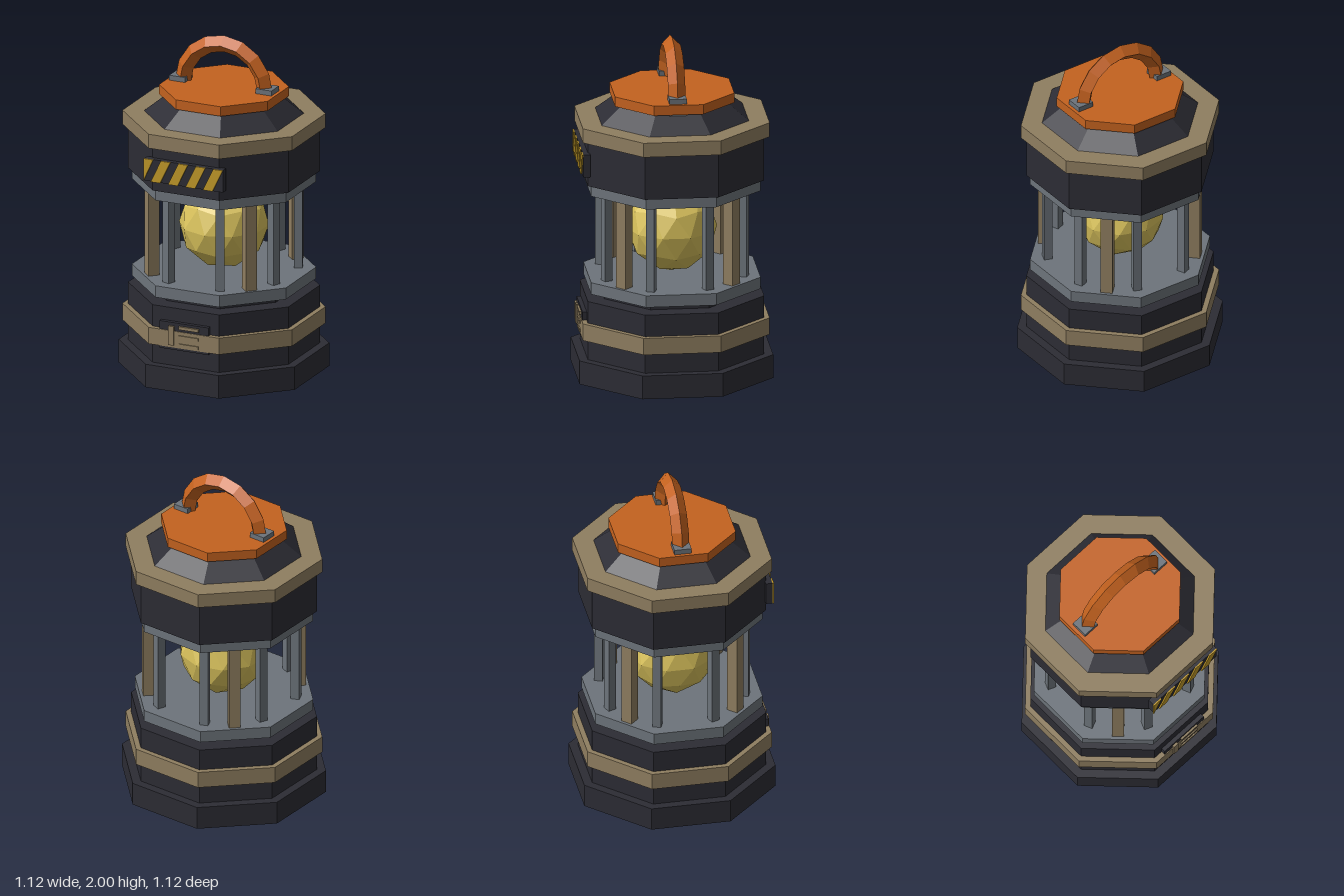
import * as THREE from 'three';

const mat = (name, color) => {
  const m = new THREE.MeshStandardMaterial({ color, flatShading: true });
  m.name = name;
  return m;
};

export function createModel() {
  const group = new THREE.Group();
  group.name = 'lantern';
  const dark = mat('dark metal', 0x2c2c34);
  const tan = mat('tan trim', 0x8f7e60);
  const grey = mat('grey metal', 0x6d747b);
  const orange = mat('orange', 0xc4621f);
  const glow = mat('glowing yellow', 0xd9c25c);
  const hazard = mat('hazard yellow', 0xc29a28);

  const add = (name, geometry, material, x = 0, y = 0, z = 0, turn = 0) => {
    const mesh = new THREE.Mesh(geometry, material);
    mesh.name = name;
    mesh.position.set(x, y, z);
    mesh.rotation.y = turn;
    group.add(mesh);
    return mesh;
  };

  // Octagonal tier, sized by the distance from its axis to its flat sides
  const tier = (name, material, y0, y1, bottom, top = bottom) => {
    const k = 1 / Math.cos(Math.PI / 8);
    const g = new THREE.CylinderGeometry(top * k, bottom * k, y1 - y0, 8).rotateY(Math.PI / 8);
    add(name, g, material, 0, (y0 + y1) / 2, 0);
  };
  const box = (name, material, x0, x1, y0, y1, z0, z1) =>
    add(name, new THREE.BoxGeometry(x1 - x0, y1 - y0, z1 - z0), material,
      (x0 + x1) / 2, (y0 + y1) / 2, (z0 + z1) / 2);

  // Stacked body
  tier('base', dark, 0, 0.14, 0.56);
  tier('lowerBody', dark, 0.14, 0.49, 0.51);
  tier('lowerBand', tan, 0.26, 0.36, 0.54);
  tier('neck', dark, 0.49, 0.53, 0.41);
  tier('cageFloor', grey, 0.53, 0.6, 0.49);
  tier('cageCeiling', grey, 1.12, 1.185, 0.49);
  tier('upperBody', dark, 1.185, 1.45, 0.51);
  tier('upperBand', tan, 1.45, 1.535, 0.54);
  tier('roof', dark, 1.535, 1.637, 0.425, 0.305);
  tier('cap', orange, 1.637, 1.695, 0.345);

  // Cage posts: eight grey near the corners, four tan on the diagonals
  const post = (name, material, size, radius, angle) =>
    add(name, new THREE.BoxGeometry(size, 0.54, size), material,
      radius * Math.sin(angle), 0.86, radius * Math.cos(angle), angle);
  for (let i = 0; i < 8; i++) post('greyPost', grey, 0.05, 0.428, (i + 0.5) * Math.PI / 4);
  for (let i = 0; i < 4; i++) post('tanPost', tan, 0.068, 0.438, (i + 0.5) * Math.PI / 2);

  // Glowing core, standing on one of its points
  const core = new THREE.IcosahedronGeometry(0.26, 1);
  core.rotateX(-Math.atan((1 + Math.sqrt(5)) / 2)).rotateY(Math.PI / 2);
  add('core', core, glow, 0, 0.86, 0);

  // Carrying handle with a diamond section, and its feet
  add('handle', new THREE.TorusGeometry(0.26, 0.05, 4, 8, Math.PI), orange, 0, 1.69, 0);
  for (const s of [-1, 1])
    add('handleFoot', new THREE.BoxGeometry(0.1, 0.1, 0.1), grey, s * 0.275, 1.675, 0);

  // Hazard plate with slanted stripes
  box('hazardPlate', dark, -0.25, 0.25, 1.25, 1.385, 0.5, 0.54);
  const stripe = (points) => {
    const shape = new THREE.Shape(points.map(([x, y]) => new THREE.Vector2(x, y)));
    add('hazardStripe', new THREE.ExtrudeGeometry(shape, { depth: 0.009, bevelEnabled: false }),
      hazard, 0, 0, 0.539);
  };
  stripe([[-0.253, 1.25], [-0.192, 1.385], [-0.253, 1.385]]);
  for (let i = 0; i < 4; i++) {
    const x = -0.207 + i * 0.111;
    stripe([[x, 1.25], [x + 0.06, 1.25], [x + 0.125, 1.385], [x + 0.065, 1.385]]);
  }

  // Control panel with a latch bar and vent slats
  box('controlPanel', dark, -0.155, 0.155, 0.245, 0.41, 0.5, 0.535);
  box('latchBar', tan, -0.095, -0.06, 0.275, 0.39, 0.53, 0.549);
  for (const y of [0.28, 0.33, 0.385])
    box('ventSlat', tan, -0.03, 0.095, y - 0.009, y + 0.009, 0.53, 0.547);

  return group;
}
